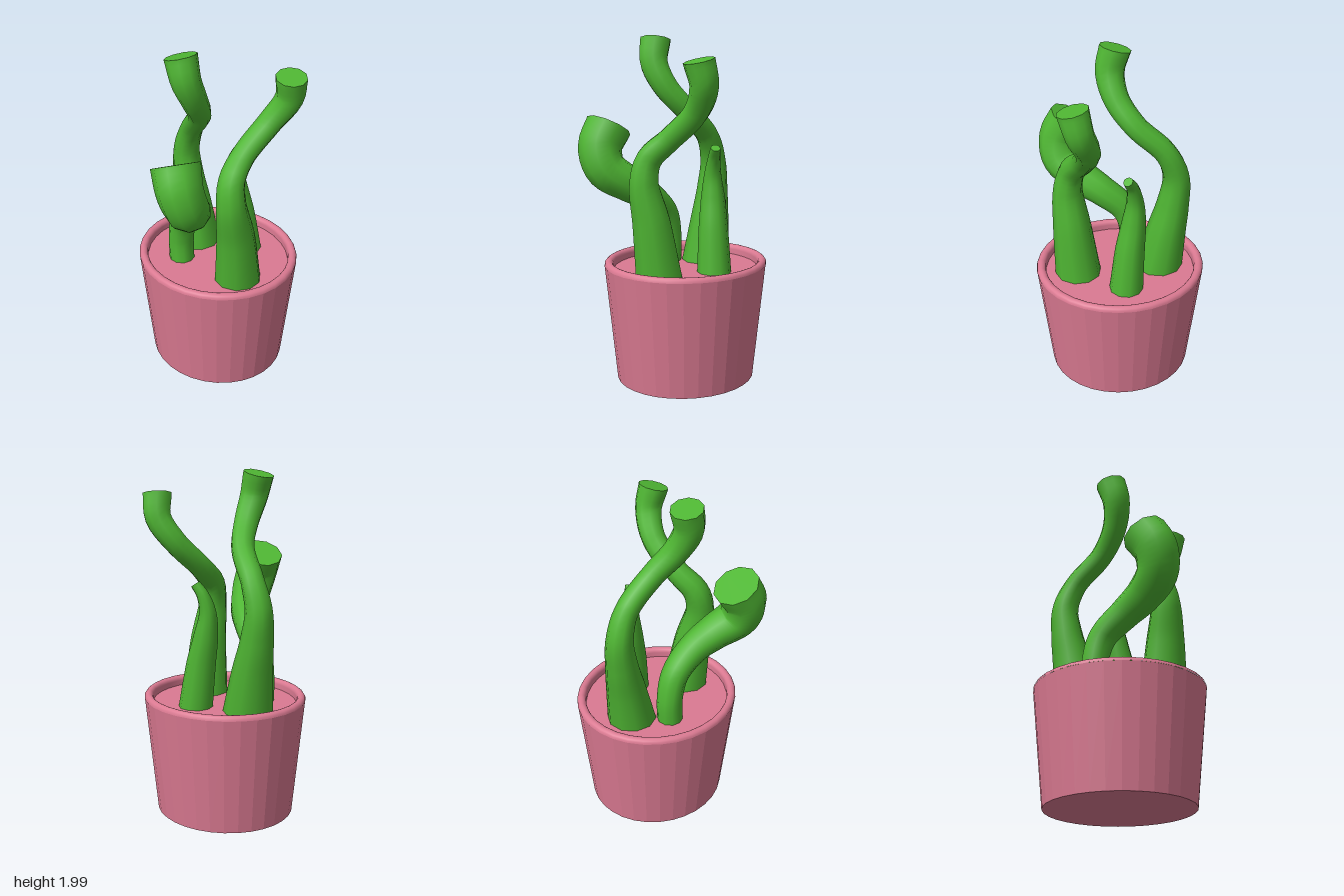
import * as THREE from 'three';

const SIDES = 10, RINGS = 40;

// Tapering stem: each point is [x, y, z, radius]
function stemGeometry(points) {
  const curve = new THREE.CatmullRomCurve3(points.map(p => new THREE.Vector3(p[0], p[1], p[2])));
  const geo = new THREE.TubeGeometry(curve, RINGS, 1, SIDES, false);
  const pos = geo.attributes.position, nor = geo.attributes.normal;
  for (let i = 0; i <= RINGS; i++) {
    const u = i / RINGS;
    const f = curve.getUtoTmapping(u) * (points.length - 1);
    const k = Math.min(Math.floor(f), points.length - 2);
    const r = THREE.MathUtils.lerp(points[k][3], points[k + 1][3], f - k);
    const c = curve.getPointAt(u);
    for (let j = 0; j <= SIDES; j++) {
      const n = i * (SIDES + 1) + j;
      pos.setXYZ(n, c.x + nor.getX(n) * r, c.y + nor.getY(n) * r, c.z + nor.getZ(n) * r);
    }
  }
  return geo;
}

// Flat end of a stem, fanned from its last ring
function capGeometry(stem) {
  const verts = [], index = [];
  const p = new THREE.Vector3();
  for (let j = 0; j < SIDES; j++) {
    p.fromBufferAttribute(stem.attributes.position, RINGS * (SIDES + 1) + j);
    verts.push(p.x, p.y, p.z);
    if (j > 1) index.push(0, j - 1, j);
  }
  const geo = new THREE.BufferGeometry();
  geo.setAttribute('position', new THREE.Float32BufferAttribute(verts, 3));
  geo.setIndex(index);
  geo.computeVertexNormals();
  // the fan must face up
  if (geo.attributes.normal.getY(0) < 0) {
    geo.setIndex(index.reverse());
    geo.computeVertexNormals();
  }
  return geo;
}

export function createModel() {
  const model = new THREE.Group();
  const pink = new THREE.MeshStandardMaterial({ color: 0xdb7a92 });
  pink.name = 'potPink';
  const green = new THREE.MeshStandardMaterial({ color: 0x4fb633 });
  green.name = 'stemGreen';

  const add = (parent, name, geo, mat) => {
    const mesh = new THREE.Mesh(geo, mat);
    mesh.name = name;
    parent.add(mesh);
    return mesh;
  };

  // Pot: slightly oval, faceted wall with a smooth rounded rim
  const pot = new THREE.Group();
  pot.name = 'pot';
  pot.position.x = 0.03;
  pot.scale.x = 0.93;
  model.add(pot);
  const SEG = 32;
  const wall = new THREE.CylinderGeometry(0.498, 0.425, 0.68, SEG, 1, true).toNonIndexed();
  wall.computeVertexNormals();
  add(pot, 'potWall', wall, pink).position.y = 0.34;
  add(pot, 'potBase', new THREE.CircleGeometry(0.425, SEG).rotateX(Math.PI / 2), pink);

  const rim = [];
  for (let i = 0; i <= 8; i++) {
    const a = (i / 8) * Math.PI;
    rim.push(new THREE.Vector2(0.472 + 0.027 * Math.cos(a), 0.68 + 0.027 * Math.sin(a)));
  }
  rim.push(new THREE.Vector2(0.444, 0.64));
  add(pot, 'potRim', new THREE.LatheGeometry(rim, SEG), pink);
  add(pot, 'soil', new THREE.CircleGeometry(0.45, SEG).rotateX(-Math.PI / 2), pink).position.y = 0.65;

  // Stems
  const stems = {
    rightStem: [
      [-0.16, 0.6, -0.1, 0.075], [-0.16, 0.8, -0.105, 0.075], [-0.163, 0.95, -0.06, 0.08],
      [-0.19, 1.07, 0.07, 0.09], [-0.25, 1.15, 0.19, 0.105], [-0.335, 1.24, 0.28, 0.122],
      [-0.375, 1.36, 0.28, 0.127], [-0.36, 1.48, 0.215, 0.134]],
    frontStem: [
      [0.015, 0.62, 0.25, 0.138], [-0.02, 0.95, 0.275, 0.112], [-0.06, 1.18, 0.288, 0.085],
      [-0.043, 1.31, 0.262, 0.076], [0.06, 1.42, 0.215, 0.068], [0.23, 1.575, 0.21, 0.07],
      [0.315, 1.72, 0.262, 0.078], [0.302, 1.855, 0.293, 0.087]],
    backStem: [
      [0.02, 0.62, -0.235, 0.146], [0.02, 0.88, -0.28, 0.117], [0.015, 1.06, -0.316, 0.095],
      [0.012, 1.24, -0.33, 0.077], [0.012, 1.4, -0.265, 0.066], [-0.03, 1.56, -0.1, 0.066],
      [-0.115, 1.7, -0.005, 0.073], [-0.18, 1.84, 0.018, 0.083], [-0.19, 1.968, -0.015, 0.091]],
    leftStem: [
      [0.228, 0.62, 0.002, 0.1], [0.203, 0.9, -0.025, 0.085], [0.184, 1.07, -0.05, 0.07],
      [0.176, 1.2, -0.058, 0.05], [0.195, 1.3, -0.04, 0.036], [0.225, 1.365, -0.007, 0.028]],
  };
  for (const [name, points] of Object.entries(stems)) {
    const group = new THREE.Group();
    group.name = name;
    const geo = stemGeometry(points);
    add(group, name + 'Body', geo, green);
    add(group, name + 'Tip', capGeometry(geo), green);
    model.add(group);
  }
  return model;
}
